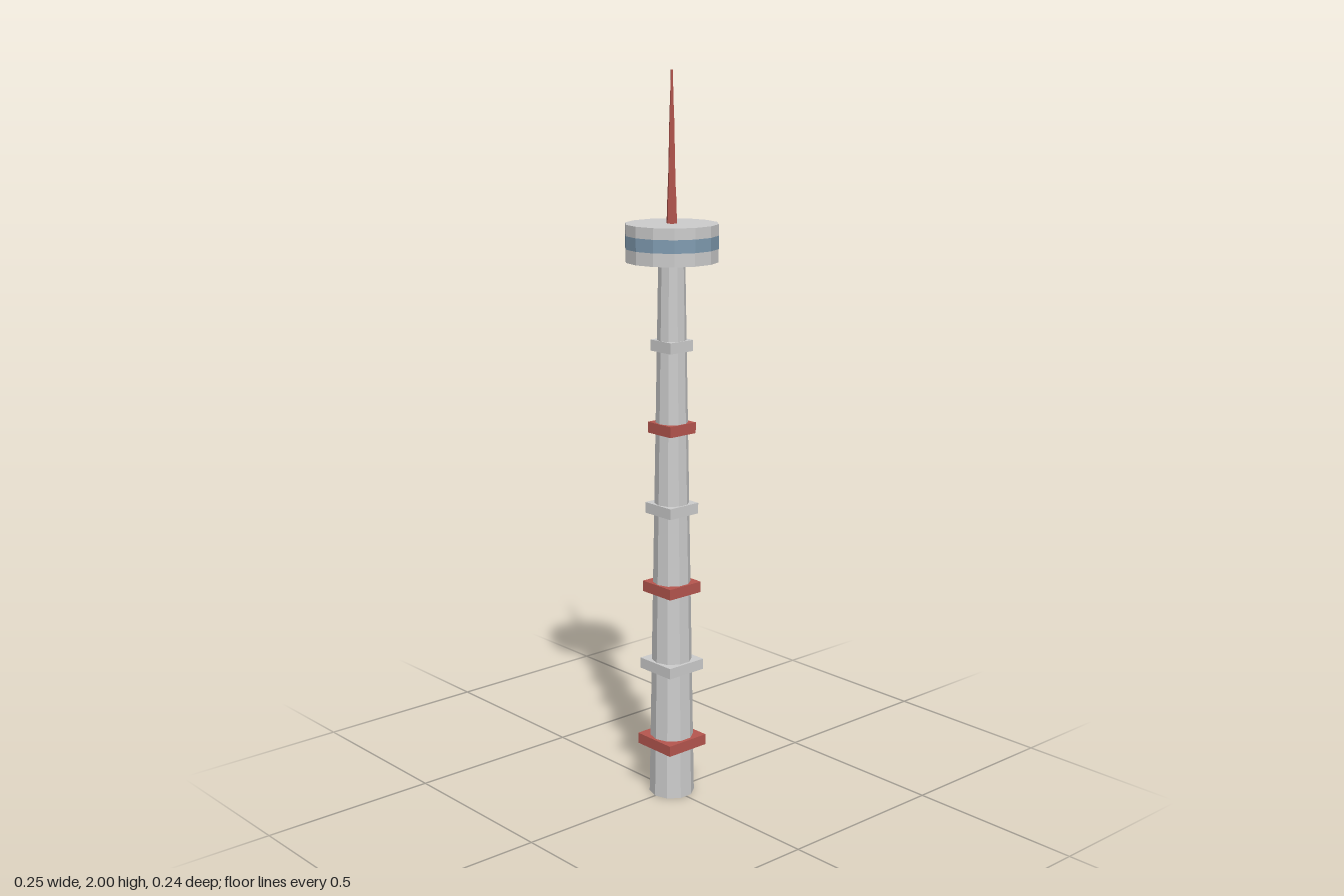
import * as THREE from 'three';

const material = (color) => new THREE.MeshStandardMaterial({ color, flatShading: true });

export function createModel() {
  const tower = new THREE.Group();
  tower.name = 'tower';
  const concrete = material(0xcccccc);
  const red = material(0xb5564e);
  const glass = material(0x7f9bb0);

  const add = (name, geometry, mat, y) => {
    const mesh = new THREE.Mesh(geometry, mat);
    mesh.name = name;
    mesh.position.y = y;
    tower.add(mesh);
  };

  // Tapered prism between two heights, with a corner on the x axis
  const prism = (name, bottomRadius, topRadius, y0, y1, sides, mat) => {
    const geometry = new THREE.CylinderGeometry(topRadius, bottomRadius, y1 - y0, sides);
    geometry.rotateY(Math.PI / 2);
    add(name, geometry, mat, (y0 + y1) / 2);
  };

  // Ten-sided tapering shaft
  prism('shaft', 0.063, 0.036, 0, 1.51, 10, concrete);

  // Square collars, alternately red and grey, shrinking upwards
  for (let i = 0; i < 6; i++) {
    const width = 2 * (0.067 - 0.0053 * i);
    add(`collar${i + 1}`, new THREE.BoxGeometry(width, 0.03, width),
      i % 2 ? concrete : red, 0.155 + 0.225 * i);
  }

  // Observation pod with a band of windows
  prism('podFloor', 0.125, 0.125, 1.505, 1.54, 14, concrete);
  prism('podWindows', 0.125, 0.125, 1.54, 1.575, 14, glass);
  prism('podRoof', 0.125, 0.125, 1.575, 1.605, 14, concrete);

  // Stepped six-sided antenna
  prism('antennaBase', 0.0145, 0.0115, 1.605, 1.7, 6, red);
  prism('antennaMiddle', 0.0105, 0.006, 1.7, 1.91, 6, red);
  prism('antennaTip', 0.005, 0.003, 1.91, 2, 6, red);

  return tower;
}
